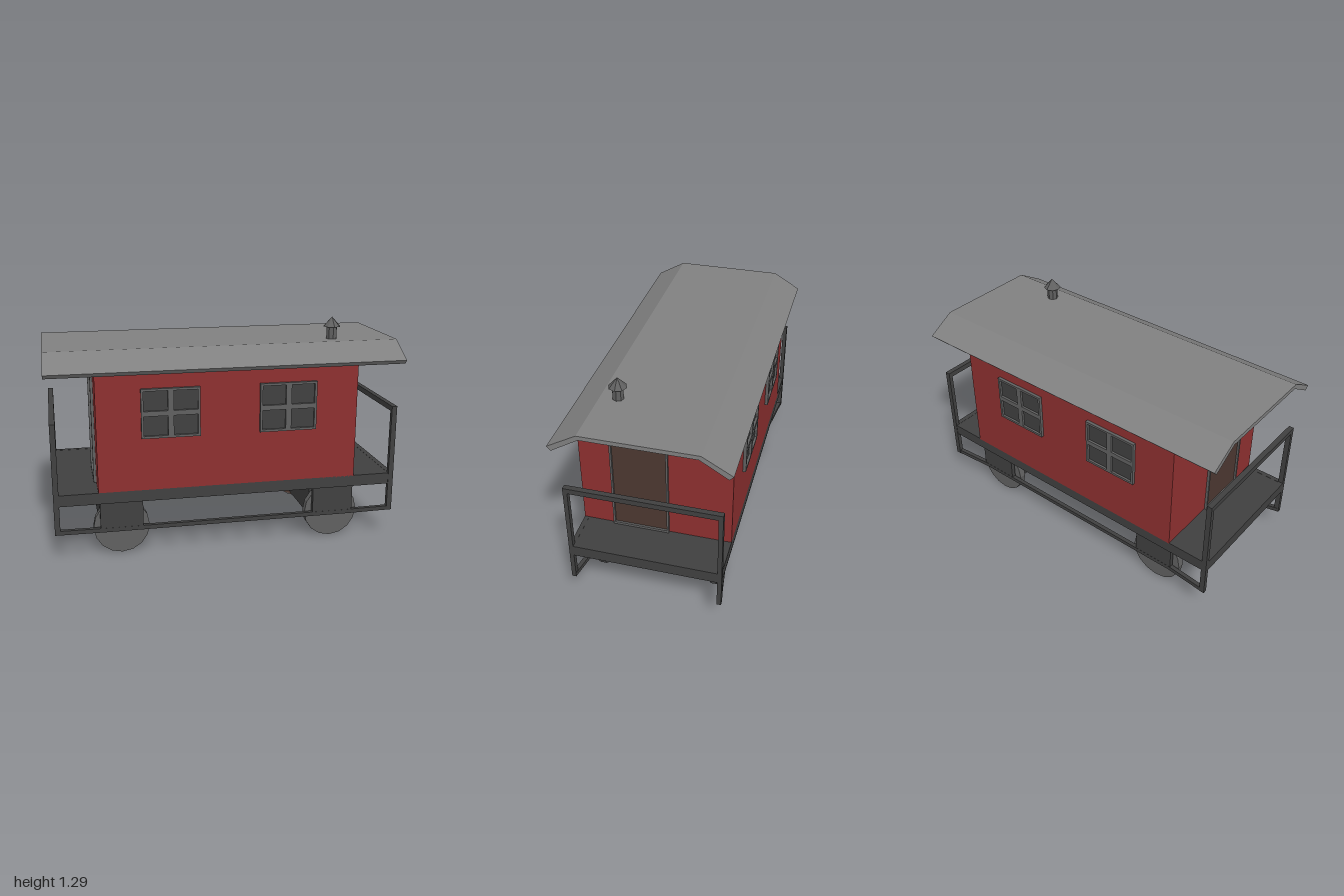
import * as THREE from 'three';

const mat = (color, side = THREE.FrontSide) =>
  new THREE.MeshStandardMaterial({ color, side, flatShading: true });

export function createModel() {
  const model = new THREE.Group();
  const red = mat(0x8e3030, THREE.DoubleSide);
  const dark = mat(0x404040);
  const roofGrey = mat(0x808080);
  const trimGrey = mat(0x606060);
  const glass = mat(0x404040, THREE.DoubleSide);
  const brown = mat(0x4c3831, THREE.DoubleSide);

  const add = (name, geometry, material, parent = model) => {
    const mesh = new THREE.Mesh(geometry, material);
    mesh.name = name;
    parent.add(mesh);
    return mesh;
  };
  // Box given by its extents on each axis
  const box = (name, [x0, x1], [y0, y1], [z0, z1], material, parent) => {
    const mesh = add(name, new THREE.BoxGeometry(Math.abs(x1 - x0), y1 - y0, Math.abs(z1 - z0)), material, parent);
    mesh.position.set((x0 + x1) / 2, (y0 + y1) / 2, (z0 + z1) / 2);
    return mesh;
  };
  // Square bar running between two points
  const bar = (name, a, b, width, material, parent) => {
    const from = new THREE.Vector3(...a), to = new THREE.Vector3(...b);
    const mesh = add(name, new THREE.BoxGeometry(width, width, from.distanceTo(to)), material, parent);
    mesh.position.copy(from).add(to).multiplyScalar(0.5);
    mesh.lookAt(to);
    return mesh;
  };
  const polygon = (points) => new THREE.Shape(points.map(([x, y]) => new THREE.Vector2(x, y)));
  const rect = (x0, x1, y0, y1) => polygon([[x0, y0], [x1, y0], [x1, y1], [x0, y1]]);
  const extrude = (shape, depth) => new THREE.ExtrudeGeometry(shape, { depth, bevelEnabled: false });

  // Four-light window frame with its pane, lying in the xy plane
  const WX = 0.162, WY = 0.138;
  const makeWindow = () => {
    const group = new THREE.Group();
    group.name = 'window';
    const frame = rect(-WX, WX, -WY, WY);
    for (const [x0, x1] of [[-WX + 0.013, -0.016], [0.016, WX - 0.013]])
      for (const [y0, y1] of [[-WY + 0.013, -0.014], [0.014, WY - 0.013]])
        frame.holes.push(rect(x0, x1, y0, y1));
    add('windowFrame', extrude(frame, 0.022), trimGrey, group).position.z = -0.004;
    add('windowPane', new THREE.PlaneGeometry(2 * WX - 0.01, 2 * WY - 0.01), glass, group).position.z = 0.005;
    return group;
  };

  // Side walls with window openings
  const HALF = 0.735, WALL_Z = 0.42, FLOOR = 0.385;
  for (const s of [1, -1]) {
    const side = new THREE.Group();
    side.name = s > 0 ? 'frontSide' : 'backSide';
    const wall = rect(-HALF, HALF, FLOOR, 1.07);
    for (const x of [-0.33, 0.33]) {
      wall.holes.push(rect(x - WX + 0.01, x + WX - 0.01, 0.828 - WY + 0.01, 0.828 + WY - 0.01));
      const win = makeWindow();
      win.position.set(x, 0.828, 0);
      side.add(win);
    }
    add('sideWall', new THREE.ShapeGeometry(wall), red, side);
    side.position.z = s * WALL_Z;
    if (s < 0) side.rotation.y = Math.PI;
    model.add(side);
  }

  // End walls with off-centre doors; shape x is used as -z
  const D0 = -0.245, D1 = 0.072, DTOP = 1.035;
  for (const s of [1, -1]) {
    const end = new THREE.Group();
    end.name = s > 0 ? 'leftEnd' : 'rightEnd';
    const wall = polygon([[-WALL_Z, FLOOR], [WALL_Z, FLOOR], [WALL_Z, 1.072],
      [0.3, 1.138], [-0.3, 1.138], [-WALL_Z, 1.072]]);
    wall.holes.push(rect(D0 + 0.006, D1 - 0.006, FLOOR + 0.006, DTOP - 0.006));
    add('endWall', new THREE.ShapeGeometry(wall), red, end);
    const frame = rect(D0, D1, FLOOR, DTOP);
    frame.holes.push(rect(D0 + 0.011, D1 - 0.011, FLOOR + 0.018, DTOP - 0.011));
    add('doorFrame', extrude(frame, 0.018), trimGrey, end).position.z = s > 0 ? -0.003 : -0.015;
    const door = add('door', new THREE.PlaneGeometry(D1 - D0 - 0.01, DTOP - FLOOR - 0.01), brown, end);
    door.position.set((D0 + D1) / 2, (DTOP + FLOOR) / 2, s * 0.003);
    end.rotation.y = Math.PI / 2;
    end.position.x = s * HALF;
    model.add(end);
  }

  // Three-faceted roof slab
  const roof = add('roof', extrude(polygon([
    [0.31, 1.162], [-0.31, 1.162], [-0.47, 1.07], [-0.448, 1.047],
    [-0.3, 1.138], [0.3, 1.138], [0.448, 1.047], [0.47, 1.07]]), 2), roofGrey);
  roof.rotation.y = Math.PI / 2;
  roof.position.x = -1;

  // Chimney and cap
  const chimney = new THREE.Group();
  chimney.name = 'chimney';
  chimney.position.set(0.64, 0, 0.215);
  add('pipe', new THREE.CylinderGeometry(0.031, 0.031, 0.085, 8), trimGrey, chimney).position.y = 1.198;
  add('cap', new THREE.ConeGeometry(0.05, 0.055, 8), trimGrey, chimney).position.y = 1.26;
  model.add(chimney);

  // Chassis sills, left open beneath the cabin
  for (const s of [1, -1])
    box('sideSill', [-0.98, 0.98], [0.325, 0.39], [s * 0.395, s * 0.42], dark);

  for (const s of [1, -1]) {
    // End platform and railing
    const platform = new THREE.Group();
    platform.name = 'endPlatform';
    model.add(platform);
    box('endSill', [s * 0.95, s * 0.98], [0.325, 0.39], [-0.395, 0.395], dark, platform);
    box('deck', [s * 0.73, s * 0.95], [0.37, 0.389], [-0.395, 0.395], dark, platform);
    box('handrail', [s * 0.95, s * 0.98], [0.762, 0.793], [-0.42, 0.42], dark, platform);
    for (const t of [1, -1])
      box('railingPost', [s * 0.95, s * 0.98], [0.16, 0.793], [t * 0.398, t * 0.422], dark, platform);

    // Wheel set: central block, hanger plates and wheels
    const truck = new THREE.Group();
    truck.name = 'wheelSet';
    truck.position.x = s > 0 ? 0.625 : -0.608;
    model.add(truck);
    box('axleBlock', [-0.12, 0.12], [0.12, 0.328], [-0.312, 0.312], dark, truck);
    for (const t of [1, -1]) {
      box('hangerPlate', [-0.12, 0.12], [0.15, 0.328], [t * 0.36, t * 0.386], dark, truck);
      box('hangerBracket', [-0.12, 0.12], [0.325, 0.34], [t * 0.31, t * 0.4], dark, truck);
      const wheel = add('wheel', new THREE.CylinderGeometry(0.158, 0.158, 0.04, 16), trimGrey, truck);
      wheel.rotation.x = Math.PI / 2;
      wheel.position.set(0, 0.158, t * 0.33);
      const face = add('wheelInnerFace', new THREE.CircleGeometry(0.152, 16), brown, truck);
      face.position.set(0, 0.158, t * 0.309);
      face.rotation.z = Math.PI / 16;
      // Sloping rod from railing post to hanger
      bar('endRod', [s * 0.975, 0.172, t * 0.41], [s * 0.72, 0.154, t * 0.375], 0.024, dark);
    }
  }

  // Rods linking the hangers
  for (const t of [1, -1])
    bar('trussRod', [-0.73, 0.154, t * 0.375], [0.73, 0.154, t * 0.375], 0.024, dark);

  return model;
}
